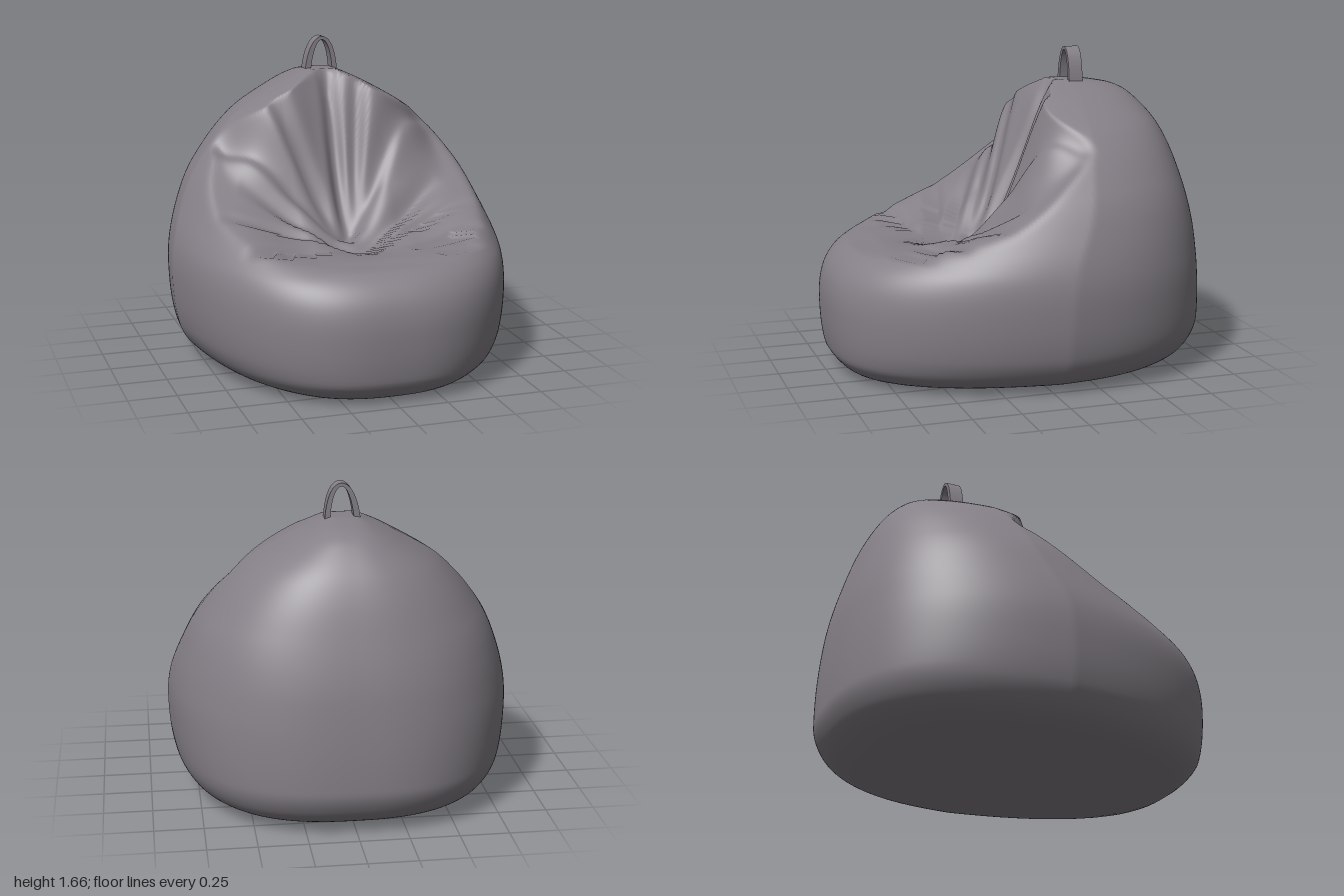
import * as THREE from 'three';
import { mergeVertices } from 'three/addons/utils/BufferGeometryUtils.js';

// Smooth curve through [position, value] pairs, held constant beyond its ends
function curve(points) {
  const n = points.length;
  const slope = points.map((p, i) => {
    const a = points[Math.max(0, i - 1)], b = points[Math.min(n - 1, i + 1)];
    return (b[1] - a[1]) / (b[0] - a[0]);
  });
  return (t) => {
    if (t <= points[0][0]) return points[0][1];
    if (t >= points[n - 1][0]) return points[n - 1][1];
    let i = 0;
    while (t > points[i + 1][0]) i++;
    const [x0, y0] = points[i], [x1, y1] = points[i + 1];
    const d = x1 - x0, u = (t - x0) / d, u2 = u * u, u3 = u2 * u;
    return (2 * u3 - 3 * u2 + 1) * y0 + (u3 - 2 * u2 + u) * d * slope[i]
      + (3 * u2 - 2 * u3) * y1 + (u3 - u2) * d * slope[i + 1];
  };
}

// Outline of the stuffed bag at each height: half width, front, back, widest z
const halfWidth = curve([[0, 0.58], [0.015, 0.67], [0.045, 0.75], [0.1, 0.815], [0.2, 0.865], [0.4, 0.892],
  [0.6, 0.885], [0.8, 0.825], [1, 0.725], [1.25, 0.51], [1.4, 0.27], [1.49, 0.08]]);
const front = curve([[0, 0.83], [0.02, 0.89], [0.06, 0.94], [0.12, 0.98], [0.35, 1], [0.5, 0.98], [0.6, 0.92],
  [0.68, 0.81], [0.75, 0.71], [0.9, 0.55], [1.1, 0.34], [1.3, 0.15], [1.43, -0.02], [1.49, -0.18]]);
const back = curve([[0, -0.68], [0.02, -0.79], [0.07, -0.9], [0.14, -0.965], [0.25, -1], [0.7, -0.97],
  [1, -0.9], [1.25, -0.805], [1.4, -0.685], [1.46, -0.58], [1.49, -0.42]]);
const middle = curve([[0, -0.05], [0.6, -0.08], [0.9, -0.2], [1.49, -0.34]]);

// Height of the seat and backrest along z: at the centre, on the bulges, over the arms
const centre = curve([[-0.3, 1.6], [-0.23, 1.46], [-0.16, 1.33], [-0.08, 1.13], [0, 0.96], [0.1, 0.78],
  [0.2, 0.67], [0.35, 0.63], [0.6, 0.665], [0.85, 0.67]]);
const bulge = curve([[-0.25, 1.64], [-0.17, 1.49], [-0.09, 1.31], [0, 1.08], [0.08, 0.91], [0.2, 0.78],
  [0.35, 0.715], [0.55, 0.68], [0.85, 0.67]]);
const arm = curve([[-0.55, 1.6], [-0.4, 1.33], [-0.25, 1.17], [-0.1, 1.04], [0.05, 0.92], [0.2, 0.83],
  [0.5, 0.73], [0.85, 0.65]]);

// Cloth creases in plan: x0, z0, x1, z1, depth, width
const creases = [
  [0, 0.2, 0.01, -0.3, 0.12, 0.04], [0.04, 0.14, 0.2, -0.26, 0.09, 0.04], [0.06, 0.14, 0.6, -0.3, 0.09, 0.045],
  [-0.04, 0.17, -0.42, -0.26, 0.1, 0.04], [-0.08, 0.2, -0.68, -0.26, 0.09, 0.045],
  [0, 0.35, -0.55, 0.02, 0.06, 0.045], [0, 0.35, 0.55, 0.05, 0.06, 0.045], [0.05, 0.38, 0.68, 0.2, 0.04, 0.035],
  [-0.7, 0.53, -0.1, 0.47, 0.04, 0.04], [0.25, 0.54, 0.68, 0.4, 0.045, 0.035], [-0.05, 0.37, -0.72, 0.2, 0.04, 0.035],
  [-0.4, 0.77, 0.45, 0.77, 0.015, 0.03], [0.35, 0.67, 0.65, 0.55, 0.03, 0.03],
];

function creaseDepth(x, z) {
  let sum = 0;
  for (const [x0, z0, x1, z1, depth, width] of creases) {
    const dx = x1 - x0, dz = z1 - z0;
    const t = ((x - x0) * dx + (z - z0) * dz) / (dx * dx + dz * dz);
    const c = THREE.MathUtils.clamp(t, 0, 1);
    const d2 = (x - x0 - c * dx) ** 2 + (z - z0 - c * dz) ** 2;
    // each crease is a valley with a soft ridge beside it, fading at both ends
    const q = d2 / (width * width);
    sum += depth * (1 - 0.35 * q) * Math.exp(-q * 0.7) * Math.sin(Math.PI * (0.1 + 0.88 * c));
  }
  return 0.12 * Math.tanh(sum / 0.12);
}

function seatHeight(x, z) {
  const a = Math.abs(x);
  const c = THREE.MathUtils.smoothstep(a, 0, 0.26);
  const s = THREE.MathUtils.smoothstep(a, 0.28, 0.62);
  const inner = THREE.MathUtils.lerp(centre(z), bulge(z), c);
  return THREE.MathUtils.lerp(inner, arm(z), s) - creaseDepth(x, z);
}

function smoothMax(a, b, k) {
  const h = Math.max(k - Math.abs(a - b), 0) / k;
  return Math.max(a, b) + h * h * k / 4;
}

// Negative inside the bag, positive outside
function bagField(x, y, z) {
  const yy = THREE.MathUtils.clamp(y, 0, 1.49);
  const m = middle(yy);
  const u = z > m ? (z - m) / (front(yy) - m) : (z - m) / (back(yy) - m);
  // rounded box in plan, narrowing more to the front than to the back
  const taper = 1 - (z > m ? 0.15 : 0.07) * Math.min(u, 1);
  const r = (Math.abs(x) / (halfWidth(yy) * taper)) ** 2.6 + u ** 2.6;
  const side = (r ** (1 / 2.6) - 1) * 0.8;
  const body = smoothMax(side, (y - seatHeight(x, z)) * 0.6, 0.03);
  return Math.max(body, -y, y - 1.49);
}

// Push each point of a sphere out to the surface of the bag
function bagGeometry() {
  let geometry = new THREE.SphereGeometry(1, 260, 180);
  geometry.deleteAttribute('uv');
  geometry.deleteAttribute('normal');
  geometry = mergeVertices(geometry, 1e-5);
  const pos = geometry.attributes.position;
  const origin = new THREE.Vector3(0, 0.4, -0.2);
  const dir = new THREE.Vector3(), p = new THREE.Vector3();
  for (let i = 0; i < pos.count; i++) {
    dir.fromBufferAttribute(pos, i).normalize();
    let near = 0, far = 2;
    for (let k = 0; k < 24; k++) {
      const t = (near + far) / 2;
      p.copy(origin).addScaledVector(dir, t);
      if (bagField(p.x, p.y, p.z) < 0) near = t; else far = t;
    }
    p.copy(origin).addScaledVector(dir, near);
    pos.setXYZ(i, p.x, p.y, p.z);
  }
  geometry.computeVertexNormals();
  return geometry;
}

// Arched fabric strap
function handleGeometry() {
  const shape = new THREE.Shape();
  shape.moveTo(-0.088, 1.45);
  shape.bezierCurveTo(-0.075, 1.6, -0.03, 1.66, 0.01, 1.66);
  shape.bezierCurveTo(0.055, 1.66, 0.09, 1.6, 0.098, 1.45);
  shape.lineTo(0.07, 1.45);
  shape.bezierCurveTo(0.065, 1.58, 0.04, 1.643, 0.01, 1.643);
  shape.bezierCurveTo(-0.015, 1.643, -0.045, 1.58, -0.055, 1.45);
  shape.closePath();
  const geometry = new THREE.ExtrudeGeometry(shape, { depth: 0.075, bevelEnabled: false, curveSegments: 16 });
  geometry.translate(0, 0, -0.393);
  return geometry;
}

export function createModel() {
  const fabric = new THREE.MeshStandardMaterial({ color: 0x858087 });
  fabric.name = 'greyFabric';
  const group = new THREE.Group();
  group.name = 'beanBagChair';
  const parts = { bag: bagGeometry(), handle: handleGeometry() };
  for (const [name, geometry] of Object.entries(parts)) {
    const mesh = new THREE.Mesh(geometry, fabric);
    mesh.name = name;
    group.add(mesh);
  }
  return group;
}
